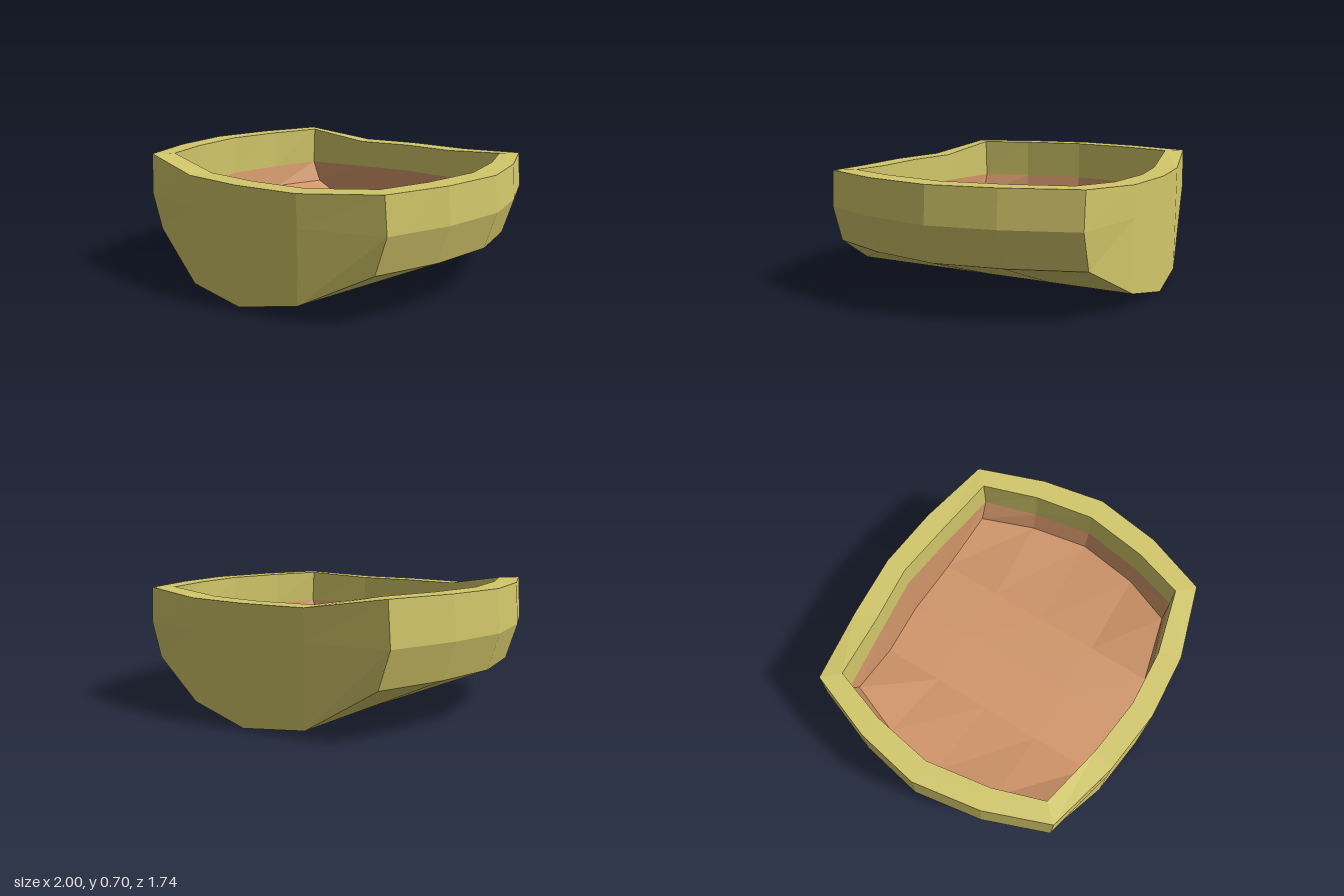
import * as THREE from 'three';

// Each layer is a 5 x 5 grid: columns run along x, rows from back to front.
// side = |x| of the outer columns per row, col = x of the inner columns,
// back / front = z of the end rows per column, y = height per column.
const OUT = {
  col: 0.37, row: 0.37,
  back: [-0.75, -0.835, -0.87, -0.84, -0.75],
  front: [0.72, 0.825, 0.87, 0.845, 0.72],
};
const INN = {
  col: 0.33, row: 0.35,
  back: [-0.66, -0.71, -0.75, -0.715, -0.66],
  front: [0.63, 0.705, 0.745, 0.725, 0.63],
};
const RIM_Y = [0.7, 0.64, 0.64, 0.64, 0.665];
const MID_Y = [0.47, 0.47, 0.47, 0.47, 0.47];

function layer(base, side, y) {
  return (i, j) => {
    const s = side[j];
    const x = [-s, -base.col, 0, base.col, s][i];
    const z = [base.back[i], -base.row, -0.01, base.row, base.front[i]][j];
    return [x, y[i], z];
  };
}

// The sixteen border cells, starting at the front and running towards +x
const BORDER = [];
for (let k = 0; k < 4; k++) BORDER.push([k, 4]);
for (let k = 0; k < 4; k++) BORDER.push([4, 4 - k]);
for (let k = 0; k < 4; k++) BORDER.push([4 - k, 0]);
for (let k = 0; k < 4; k++) BORDER.push([0, k]);

const quad = (out, a, b, c, d) => out.push(...a, ...b, ...c, ...a, ...c, ...d);

// Band of quads joining the borders of two layers
function band(lower, upper) {
  const out = [];
  BORDER.forEach((p, k) => {
    const q = BORDER[(k + 1) % BORDER.length];
    quad(out, lower(...p), lower(...q), upper(...q), upper(...p));
  });
  return out;
}

// Full grid of a layer, facing up or down
function sheet(l, up) {
  const out = [];
  for (let i = 0; i < 4; i++) {
    for (let j = 0; j < 4; j++) {
      const c = [l(i, j), l(i, j + 1), l(i + 1, j + 1), l(i + 1, j)];
      quad(out, ...(up ? c : c.reverse()));
    }
  }
  return out;
}

function part(name, material, points) {
  const g = new THREE.BufferGeometry();
  g.setAttribute('position', new THREE.Float32BufferAttribute(points, 3));
  g.computeVertexNormals();
  const mesh = new THREE.Mesh(g, material);
  mesh.name = name;
  return mesh;
}

export function createModel() {
  const group = new THREE.Group();
  group.name = 'bowl';
  const shell = new THREE.MeshStandardMaterial({ color: 0xd3c76a, flatShading: true });
  shell.name = 'yellow shell';
  const filling = new THREE.MeshStandardMaterial({ color: 0xd2966a, flatShading: true });
  filling.name = 'orange lining';

  const outRim = layer(OUT, [0.785, 0.92, 0.985, 0.92, 0.785], RIM_Y);
  const outMid = layer(OUT, [0.8, 0.935, 1.0, 0.935, 0.8], MID_Y);
  const outLow = layer(OUT, [0.735, 0.87, 0.935, 0.87, 0.735], [0.27, 0.04, 0, 0.08, 0.27]);
  const inRim = layer(INN, [0.7, 0.8, 0.855, 0.795, 0.7], RIM_Y);
  const inMid = layer(INN, [0.71, 0.8, 0.86, 0.8, 0.71], MID_Y);
  const inLow = layer(INN, [0.66, 0.775, 0.835, 0.775, 0.66], [0.34, 0.14, 0.1, 0.17, 0.34]);

  group.add(
    part('outerWall', shell, [...band(outLow, outMid), ...band(outMid, outRim)]),
    part('underside', shell, sheet(outLow, false)),
    part('rim', shell, band(outRim, inRim)),
    part('innerWall', shell, band(inRim, inMid)),
    part('liningWall', filling, band(inMid, inLow)),
    part('liningFloor', filling, sheet(inLow, true)),
  );
  return group;
}
